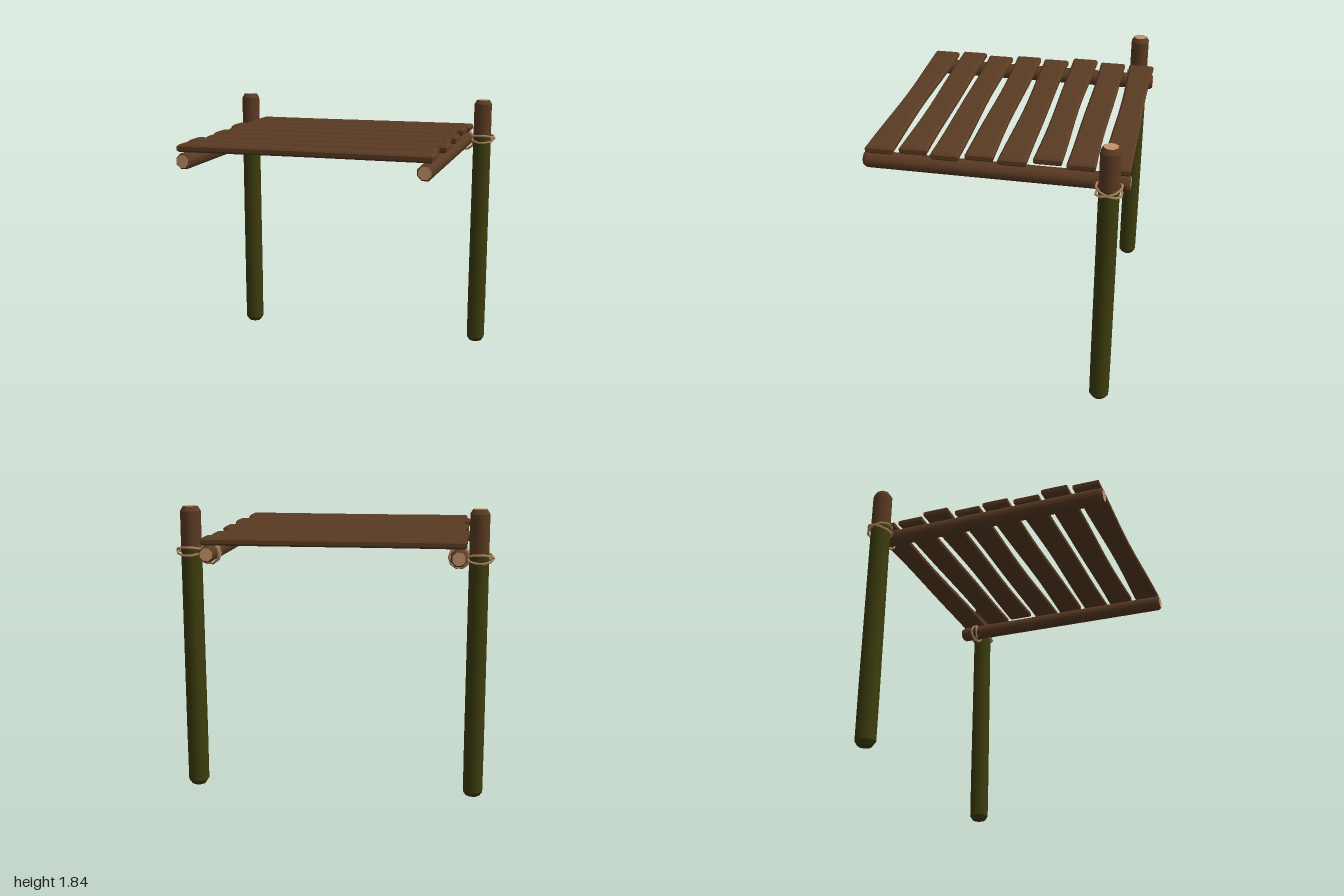
import * as THREE from 'three';

const mat = (name, color) => {
  const m = new THREE.MeshStandardMaterial({ color });
  m.name = name;
  return m;
};

export function createModel() {
  const bark = mat('brown wood', 0x5b3b23);
  const moss = mat('moss green', 0x3d3d0e);
  const cut = mat('cut wood', 0xc29469);
  const cord = mat('rope', 0xb08660);

  const model = new THREE.Group();
  model.name = 'plankCanopy';

  const add = (parent, name, geometry, material) => {
    const mesh = new THREE.Mesh(geometry, material);
    mesh.name = name;
    parent.add(mesh);
    return mesh;
  };

  // Eight-sided log standing on y = 0, built as stacked bands [radius, height] with cut ends
  function log(name, bands, materials, bottomMaterial) {
    const group = new THREE.Group();
    group.name = name;
    for (let i = 0; i < bands.length - 1; i++) {
      const [r0, y0] = bands[i], [r1, y1] = bands[i + 1];
      const g = new THREE.CylinderGeometry(r1, r0, y1 - y0, 8, 1, true);
      g.rotateY(Math.PI / 8).translate(0, (y0 + y1) / 2, 0);
      add(group, 'logBand', g, materials[i]);
    }
    const end = (r, y, up, material) => {
      const g = new THREE.CircleGeometry(r, 8).rotateZ(Math.PI / 8);
      g.rotateX(up ? -Math.PI / 2 : Math.PI / 2).translate(0, y, 0);
      add(group, 'logEnd', g, material);
    };
    const last = bands[bands.length - 1];
    end(bands[0][0], bands[0][1], false, bottomMaterial);
    end(last[0], last[1], true, cut);
    model.add(group);
    return group;
  }

  // Loop of rope around the y axis
  const ropeRing = (r) => new THREE.TorusGeometry(r, 0.008, 5, 10).rotateX(Math.PI / 2);

  for (const side of [-1, 1]) {
    const label = side > 0 ? 'left' : 'right';

    // Rear post: mossy below, bare above
    const post = log(label + 'Post',
      [[0.047, 0], [0.067, 0.03], [0.068, 0.35], [0.066, 1.57], [0.065, 1.81], [0.046, 1.84]],
      [moss, moss, moss, bark, bark], moss);
    post.position.set(side * 0.905, 0, -0.713);

    // Beam running front to back
    const beam = log(label + 'Beam',
      [[0.043, 0], [0.054, 0.02], [0.054, 1.64], [0.043, 1.66]],
      [bark, bark, bark], cut);
    beam.rotation.x = Math.PI / 2;
    beam.position.set(side * 0.783, 1.547, -0.83);

    // Lashing: crossed loops around the post and around the beam
    const lashing = new THREE.Group();
    lashing.name = label + 'Lashing';
    for (const tilt of [-0.32, 0.32]) {
      const a = add(lashing, 'postRope', ropeRing(0.084), cord);
      a.rotation.x = tilt;
      a.position.set(side * 0.912, side > 0 ? 1.56 : 1.54, -0.713);
      const b = add(lashing, 'beamRope', ropeRing(0.066).rotateX(Math.PI / 2), cord);
      b.rotation.y = tilt;
      b.position.set(side * 0.785, 1.542, -0.713);
    }
    model.add(lashing);
  }

  // Deck planks with bevelled, gently wavy long edges: [x min, x max]
  const spans = [
    [-0.83, 0.82], [-0.835, 0.805], [-0.875, 0.77], [-0.82, 0.825],
    [-0.84, 0.8], [-0.81, 0.835], [-0.85, 0.795], [-0.83, 0.825],
  ];
  const bevel = 0.012, steps = 10;
  spans.forEach(([x0, x1], i) => {
    const wave = (t, phase) => 0.088 - 0.009 * Math.sin(Math.PI * t) * (1 + 0.7 * Math.sin(5 * t + phase));
    const points = [];
    for (let k = 0; k <= steps; k++) {
      points.push(new THREE.Vector2(x0 + (x1 - x0) * k / steps, -wave(k / steps, i * 1.7)));
    }
    for (let k = steps; k >= 0; k--) {
      points.push(new THREE.Vector2(x0 + (x1 - x0) * k / steps, wave(k / steps, i * 2.3 + 1)));
    }
    const g = new THREE.ExtrudeGeometry(new THREE.Shape(points), {
      depth: 0.024, bevelEnabled: true, bevelThickness: bevel,
      bevelSize: bevel, bevelOffset: -bevel, bevelSegments: 1,
    });
    g.rotateX(-Math.PI / 2);
    add(model, 'plank' + (i + 1), g, bark).position.set(0, 1.604 + bevel, -0.738 + i * 0.2085);
  });

  return model;
}
